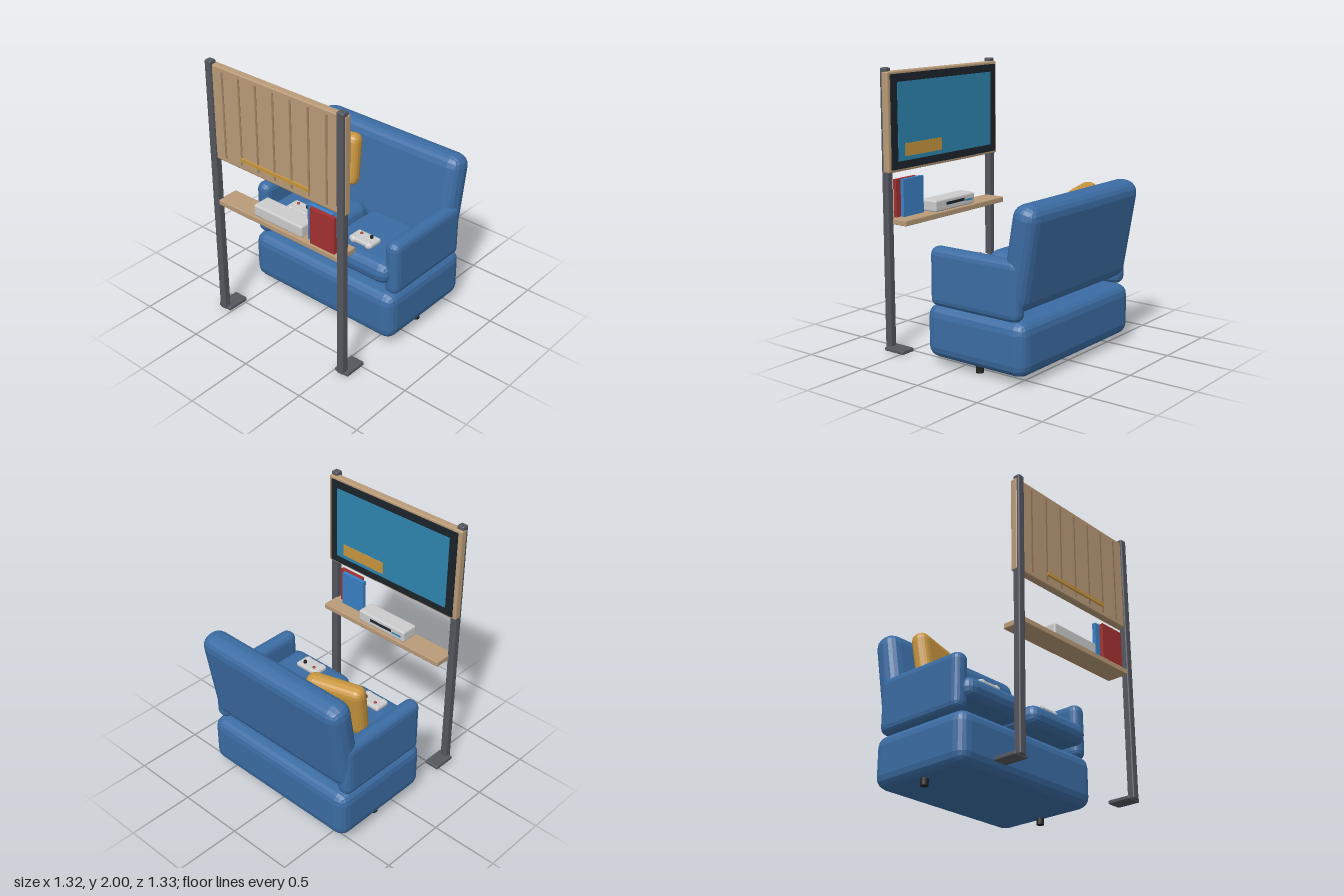
import * as THREE from 'three';
import { RoundedBoxGeometry } from 'three/addons/geometries/RoundedBoxGeometry.js';

const paint = (color, flatShading = false) => new THREE.MeshStandardMaterial({ color, flatShading });
const fabric = paint(0x3b6ca3, true);
const mustard = paint(0xc8963e, true);
const wood = paint(0xb99b78);
const groove = paint(0x9c8061);
const metal = paint(0x55575f);
const grey = paint(0xcccccc);
const dark = paint(0x1b242b);
const black = paint(0x222222);
const red = paint(0xa33030);
const bookBlue = paint(0x3a80c4);
const glass = paint(0x2f86b0);
const gold = paint(0xc8963e);

function add(parent, name, geometry, material, x, y, z) {
  const mesh = new THREE.Mesh(geometry, material);
  mesh.name = name;
  mesh.position.set(x, y, z);
  parent.add(mesh);
  return mesh;
}

// Box given by its limits on each axis, with optional rounded edges
function box(parent, name, material, [x0, x1], [y0, y1], [z0, z1], radius = 0) {
  const w = x1 - x0, h = y1 - y0, d = z1 - z0;
  const geometry = radius
    ? new RoundedBoxGeometry(w, h, d, 2, radius)
    : new THREE.BoxGeometry(w, h, d);
  return add(parent, name, geometry, material, (x0 + x1) / 2, (y0 + y1) / 2, (z0 + z1) / 2);
}

function group(parent, name) {
  const g = new THREE.Group();
  g.name = name;
  parent.add(g);
  return g;
}

function buildSofa(parent) {
  const sofa = group(parent, 'sofa');
  box(sofa, 'base', fabric, [-0.655, 0.655], [0.05, 0.43], [-0.595, 0.24], 0.085);

  // Leaning backrest
  const back = add(sofa, 'backrest', new RoundedBoxGeometry(1.3, 0.73, 0.2, 2, 0.09),
    fabric, 0, 0.84, -0.52);
  back.rotation.x = -0.17;

  for (const s of [-1, 1]) {
    const side = s > 0 ? 'left' : 'right';
    const arm = add(sofa, side + 'Arm', new RoundedBoxGeometry(0.12, 0.415, 0.745, 2, 0.055),
      fabric, s * 0.602, 0.63, -0.178);
    arm.updateMatrix();
    add(sofa, side + 'SeatCushion', new RoundedBoxGeometry(0.59, 0.17, 0.61, 2, 0.08),
      fabric, s * 0.315, 0.585, -0.055);
    add(sofa, side + 'Leg', new THREE.CylinderGeometry(0.028, 0.028, 0.08, 12),
      black, s * 0.57, 0.045, -0.175);
  }

  // Loose pillow, turned and leaning on the backrest
  const pillow = add(sofa, 'pillow', new RoundedBoxGeometry(0.43, 0.41, 0.13, 2, 0.06),
    mustard, -0.358, 0.957, -0.332);
  pillow.rotation.set(-0.16, 0.28, 0, 'YXZ');
}

function buildController(parent, name, x) {
  const pad = group(parent, name);
  pad.position.set(x, 0, 0.09);
  box(pad, 'controllerBody', grey, [-0.1, 0.1], [0.685, 0.722], [-0.06, 0.06], 0.015);
  for (const s of [-1, 1]) {
    add(pad, 'grip', new THREE.SphereGeometry(0.028, 12, 8), grey, s * 0.066, 0.7, 0.04);
  }
  add(pad, 'redButton', new THREE.SphereGeometry(0.012, 10, 8), red, -0.045, 0.722, -0.02);
  add(pad, 'thumbStick', new THREE.CylinderGeometry(0.012, 0.012, 0.03, 12), black,
    0.045, 0.725, -0.02);
}

function buildStand(parent) {
  const stand = group(parent, 'mediaStand');

  // Posts and feet
  for (const s of [-1, 1]) {
    const side = s > 0 ? 'left' : 'right';
    add(stand, side + 'Post', new RoundedBoxGeometry(0.055, 1.99, 0.055, 2, 0.01),
      metal, s * 0.567, 1.005, 0.64);
    add(stand, side + 'Foot', new RoundedBoxGeometry(0.115, 0.028, 0.175, 2, 0.008),
      metal, s * 0.566, 0.014, 0.563);
  }

  // Wooden panel with grooves and a gold strip on its outer face
  box(stand, 'panel', wood, [-0.598, 0.598], [1.275, 1.975], [0.595, 0.652], 0.012);
  for (let i = -3; i <= 3; i++) {
    const x = i * 0.15;
    box(stand, 'panelGroove', groove, [x - 0.008, x + 0.008], [1.31, 1.945], [0.645, 0.655]);
  }
  box(stand, 'goldStrip', gold, [-0.3, 0.3], [1.345, 1.37], [0.645, 0.664]);

  // Screen on the side facing the sofa
  box(stand, 'screenFrame', dark, [-0.57, 0.57], [1.295, 1.955], [0.586, 0.6]);
  box(stand, 'screen', glass, [-0.51, 0.51], [1.35, 1.9], [0.583, 0.59]);
  box(stand, 'screenBar', gold, [0.06, 0.44], [1.38, 1.47], [0.579, 0.588]);

  // Shelf
  box(stand, 'shelf', wood, [-0.55, 0.55], [0.91, 0.95], [0.49, 0.66], 0.006);

  // Game console with slot and light towards the sofa
  box(stand, 'console', grey, [-0.22, 0.218], [0.95, 1.037], [0.506, 0.645], 0.015);
  box(stand, 'consoleSlot', dark, [-0.1, 0.1], [0.99, 1.01], [0.502, 0.512]);
  box(stand, 'consoleLight', glass, [-0.19, -0.11], [0.985, 0.997], [0.502, 0.512]);

  // Cases standing on the shelf
  box(stand, 'blueCase', bookBlue, [0.252, 0.46], [0.95, 1.218], [0.59, 0.618]);
  box(stand, 'redCase', red, [0.295, 0.503], [0.95, 1.22], [0.62, 0.648]);
}

export function createModel() {
  const model = new THREE.Group();
  model.name = 'sofaAndMediaStand';
  buildSofa(model);
  buildController(model, 'rightController', -0.3);
  buildController(model, 'leftController', 0.3);
  buildStand(model);
  return model;
}
